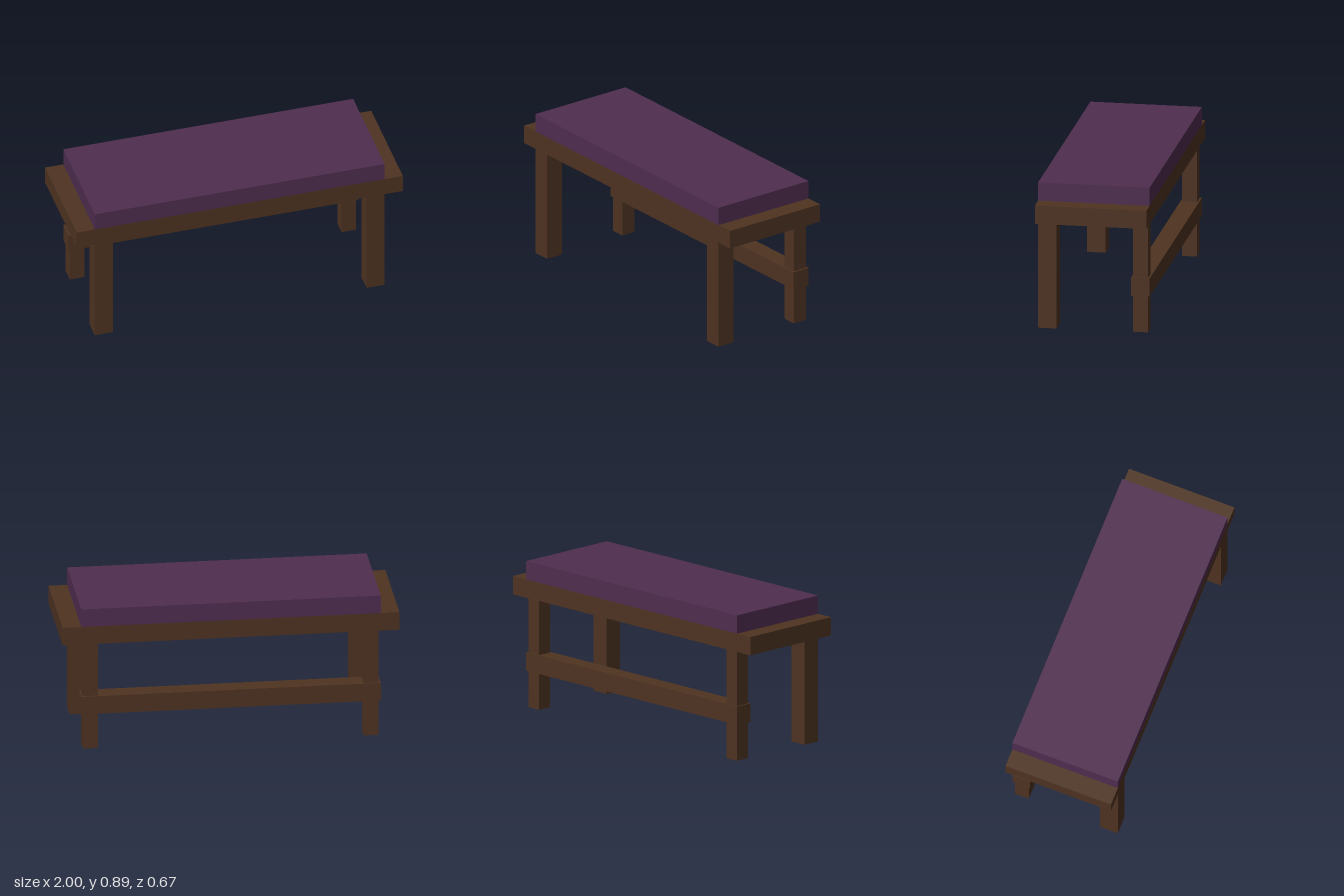
import * as THREE from 'three';

export function createModel() {
  const model = new THREE.Group();
  model.name = 'bench';

  const wood = new THREE.MeshStandardMaterial({ name: 'dark wood', color: 0x4e3321 });
  const fabric = new THREE.MeshStandardMaterial({ name: 'purple fabric', color: 0x4f2d4f });

  // Everything is laid out on a module of one ninth of a unit
  const u = 1 / 9;

  // Box with its underside at y
  function block(name, material, [w, h, d], [x, y, z]) {
    const mesh = new THREE.Mesh(new THREE.BoxGeometry(w, h, d), material);
    mesh.name = name;
    mesh.position.set(x, y + h / 2, z);
    model.add(mesh);
  }

  // Seat board and cushion
  block('seatBoard', wood, [18 * u, u, 6 * u], [0, 6 * u, 0]);
  block('cushion', fabric, [16 * u, u, 6 * u], [0, 7 * u, 0]);

  // Thick front legs, slimmer back legs
  for (const [side, s] of [['Left', 1], ['Right', -1]]) {
    block('frontLeg' + side, wood, [u, 6 * u, u], [s * 7.5 * u, 0, 2.5 * u]);
    block('backLeg' + side, wood, [0.8 * u, 6 * u, 0.8 * u], [s * 7.5 * u, 0, -2.5 * u]);
  }

  // Rail enclosing the back legs
  block('backRail', wood, [16 * u, u, u], [0, 2 * u, -2.5 * u]);

  return model;
}
